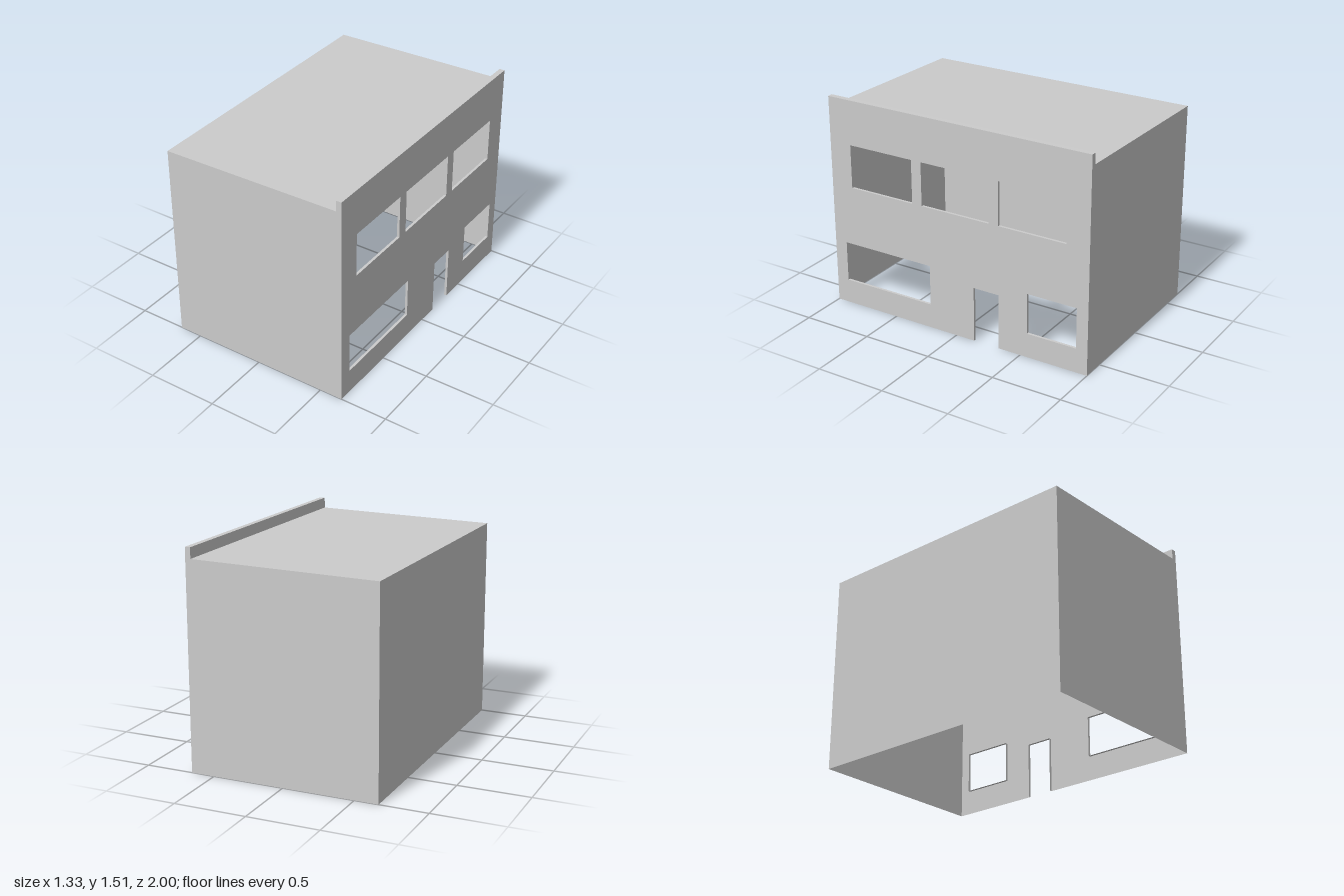
import * as THREE from 'three';

const HX = 0.665, HZ = 1, TOP = 1.515, REVEAL = 0.018;
const material = new THREE.MeshStandardMaterial({ color: 0xcccccc, side: THREE.DoubleSide });

function addMesh(group, name, geometry) {
  const mesh = new THREE.Mesh(geometry, material);
  mesh.name = name;
  group.add(mesh);
  return mesh;
}

// Flat four-cornered panel, corners counter-clockwise seen from outside
function quad(a, b, c, d) {
  const g = new THREE.BufferGeometry();
  g.setAttribute('position', new THREE.Float32BufferAttribute([a, b, c, d].flat(), 3));
  g.setIndex([0, 1, 2, 0, 2, 3]);
  g.computeVertexNormals();
  return g;
}

const toShape = (pts) => new THREE.Shape(pts.map(([x, y]) => new THREE.Vector2(x, y)));

export function createModel() {
  const house = new THREE.Group();
  house.name = 'house';

  // Cross-section: rear wall, gently sloping roof, parapet, facade
  const section = [[-HX, 0], [-HX, 1.42], [0.627, 1.44], [0.627, TOP], [HX, TOP], [HX, 0]];
  const names = ['rearWall', 'roof', 'parapetInnerFace', 'parapetTop'];
  names.forEach((name, i) => {
    const [x0, y0] = section[i], [x1, y1] = section[i + 1];
    addMesh(house, name, quad([x0, y0, -HZ], [x0, y0, HZ], [x1, y1, HZ], [x1, y1, -HZ]));
  });

  // Two end walls; the underside stays open
  for (const side of [1, -1]) {
    const wall = addMesh(house, side > 0 ? 'frontEndWall' : 'backEndWall',
      new THREE.ShapeGeometry(toShape(section.map(([x, y]) => [x * side, y]))));
    wall.position.z = side * HZ;
    if (side < 0) wall.rotation.y = Math.PI;
  }

  // Openings in facade coordinates (u = -z): left, right, bottom, top
  const door = [0.142, 0.335, 0, 0.394];
  const windows = [
    [-0.834, -0.336, 0.887, 1.197],
    [-0.26, 0.26, 0.887, 1.197],
    [0.335, 0.833, 0.887, 1.197],
    [-0.908, -0.207, 0.174, 0.463],
    [0.553, 0.917, 0.174, 0.463],
  ];

  // Facade sheet with a door notch and window holes
  const facade = new THREE.Group();
  facade.name = 'facade';
  facade.position.x = HX;
  facade.rotation.y = Math.PI / 2;
  house.add(facade);
  const [dl, dr, , dt] = door;
  const outline = toShape([[-HZ, 0], [dl, 0], [dl, dt], [dr, dt], [dr, 0], [HZ, 0], [HZ, TOP], [-HZ, TOP]]);
  for (const [l, r, b, t] of windows) {
    outline.holes.push(new THREE.Path([[l, b], [l, t], [r, t], [r, b]].map(([x, y]) => new THREE.Vector2(x, y))));
  }
  addMesh(facade, 'facadeWall', new THREE.ShapeGeometry(outline));

  // Shallow reveals lining every opening (the door has no sill)
  const addReveal = (name, [l, r, b, t], hasSill) => {
    const corners = [[l, b], [l, t], [r, t], [r, b]];
    for (let i = 0; i < (hasSill ? 4 : 3); i++) {
      const p = corners[i], q = corners[(i + 1) % 4];
      addMesh(facade, name, quad([...p, 0], [...p, -REVEAL], [...q, -REVEAL], [...q, 0]));
    }
  };
  windows.forEach((w) => addReveal('windowReveal', w, true));
  addReveal('doorReveal', door, false);

  return house;
}
